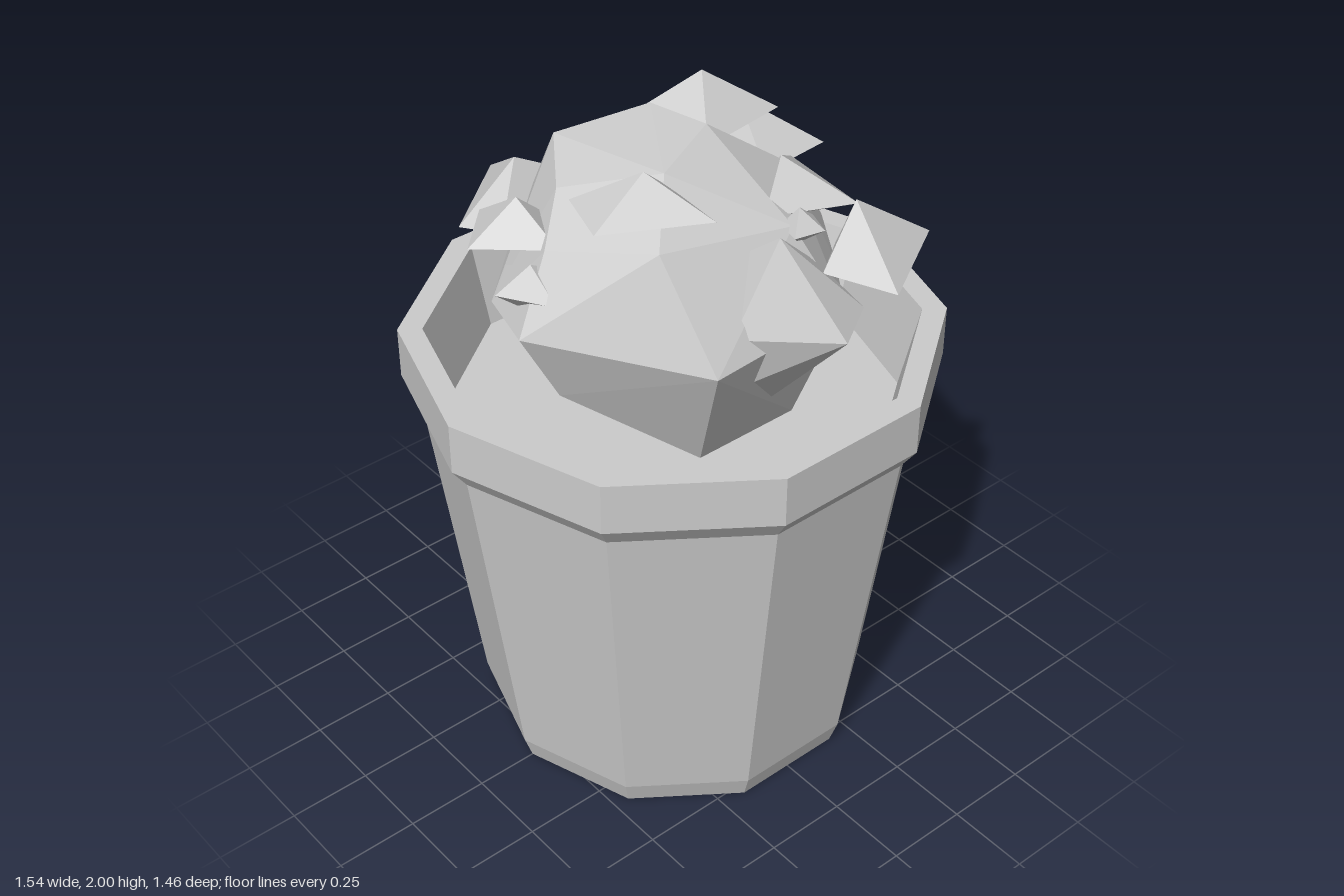
import * as THREE from 'three';
import { ConvexGeometry } from 'three/addons/geometries/ConvexGeometry.js';

const grey = new THREE.MeshStandardMaterial({ color: 0xcccccc });
grey.name = 'plain grey';

// Faceted solid spanned by a handful of corner points
function facetedSolid(name, points) {
  const mesh = new THREE.Mesh(new ConvexGeometry(points.map(p => new THREE.Vector3(...p))), grey);
  mesh.name = name;
  return mesh;
}

// Ten-sided turned solid with flat faces and corners on the x axis
function decagonal(name, profile) {
  const points = profile.map(([r, y]) => new THREE.Vector2(r, y));
  const geometry = new THREE.LatheGeometry(points, 10, Math.PI / 2).toNonIndexed();
  geometry.computeVertexNormals();
  const mesh = new THREE.Mesh(geometry, grey);
  mesh.name = name;
  return mesh;
}

// Pointed tuft: four corners [x, z] at one height, a peak above, a shallow point below
function tuft({ peak, base, low, corners }) {
  const [x, y, z] = peak;
  return facetedSolid('leafTuft', [
    [x, y, z], [x, low, z], ...corners.map(([cx, cz]) => [cx, base, cz]),
  ]);
}

export function createModel() {
  const model = new THREE.Group();
  model.name = 'pottedPlant';

  // Pot with a foot bevel, tapered wall and thick rim
  model.add(decagonal('pot', [
    [0, 0], [0.56, 0], [0.585, 0.075], [0.725, 1.135], [0.77, 1.2],
    [0.77, 1.355], [0.70, 1.355], [0.645, 1.1],
  ]));
  model.add(decagonal('soil', [[0.645, 1.1], [0, 1.1]]));

  // Main rounded mass of foliage
  const plant = new THREE.Group();
  plant.name = 'foliage';
  plant.add(facetedSolid('foliageBody', [
    [-0.1, 1.9, 0.08], [0.13, 1.92, -0.02], [0.1, 1.91, -0.22], [-0.15, 1.86, -0.33], [-0.28, 1.82, -0.15],
    [-0.25, 1.79, 0.24], [0.16, 1.74, 0.3], [0.36, 1.75, 0.05], [0.3, 1.76, -0.28], [-0.4, 1.72, -0.05],
    [-0.53, 1.52, 0], [-0.22, 1.49, 0.44], [0.25, 1.5, 0.42], [0.42, 1.48, 0.2],
    [0.555, 1.48, 0], [0.42, 1.5, -0.3], [0.1, 1.5, -0.42], [-0.25, 1.55, -0.4], [-0.46, 1.5, -0.22],
    [-0.42, 1.3, 0.02], [-0.14, 1.1, 0.28], [0.2, 1.1, 0.28], [0.42, 1.32, 0],
    [0.24, 1.1, -0.25], [-0.2, 1.1, -0.25],
  ]));

  // Large clump bulging out at the front
  plant.add(facetedSolid('frontClump', [
    [0.03, 1.8, 0.39], [-0.12, 1.54, 0.38], [0.1, 1.54, 0.585], [0.24, 1.55, 0.5],
    [0, 1.7, 0.27], [0.22, 1.62, 0.33], [-0.06, 1.37, 0.38], [0.12, 1.35, 0.42], [0.06, 1.2, 0.3],
  ]));

  // Tufts scattered over the mass
  [
    { peak: [-0.21, 1.97, 0.13], base: 1.86, low: 1.8, corners: [[-0.33, -0.03], [-0.09, 0.08], [-0.11, 0.3], [-0.39, 0.15]] },
    { peak: [0.22, 2, -0.145], base: 1.87, low: 1.81, corners: [[0.35, -0.32], [0.4, -0.03], [0.11, 0.01], [0.05, -0.26]] },
    { peak: [0.3, 1.81, 0.39], base: 1.66, low: 1.57, corners: [[0.28, 0.34], [0.515, 0.46], [0.23, 0.63], [0.15, 0.43]] },
    { peak: [0.44, 1.8, -0.24], base: 1.66, low: 1.58, corners: [[0.6, -0.4], [0.62, -0.07], [0.38, -0.05], [0.33, -0.38]] },
    { peak: [-0.38, 1.81, -0.195], base: 1.71, low: 1.66, corners: [[-0.4, -0.34], [-0.27, -0.19], [-0.36, -0.04], [-0.54, -0.2]] },
    { peak: [0.22, 1.88, 0.18], base: 1.75, low: 1.69, corners: [[0.39, 0.04], [0.36, 0.34], [0.12, 0.23], [0.21, 0.1]] },
    { peak: [-0.22, 1.77, -0.42], base: 1.66, low: 1.6, corners: [[-0.19, -0.58], [-0.01, -0.37], [-0.38, -0.27], [-0.45, -0.37]] },
    { peak: [0.25, 1.84, -0.31], base: 1.74, low: 1.68, corners: [[0.09, -0.42], [0.35, -0.42], [0.35, -0.26], [0.09, -0.26]] },
    { peak: [-0.44, 1.69, -0.06], base: 1.61, low: 1.54, corners: [[-0.42, -0.2], [-0.3, -0.06], [-0.44, 0.05], [-0.53, -0.1]] },
    { peak: [0.18, 1.79, 0.3], base: 1.73, low: 1.68, corners: [[0.15, 0.26], [0.25, 0.28], [0.22, 0.36], [0.13, 0.34]] },
  ].forEach(spec => plant.add(tuft(spec)));

  model.add(plant);
  return model;
}
